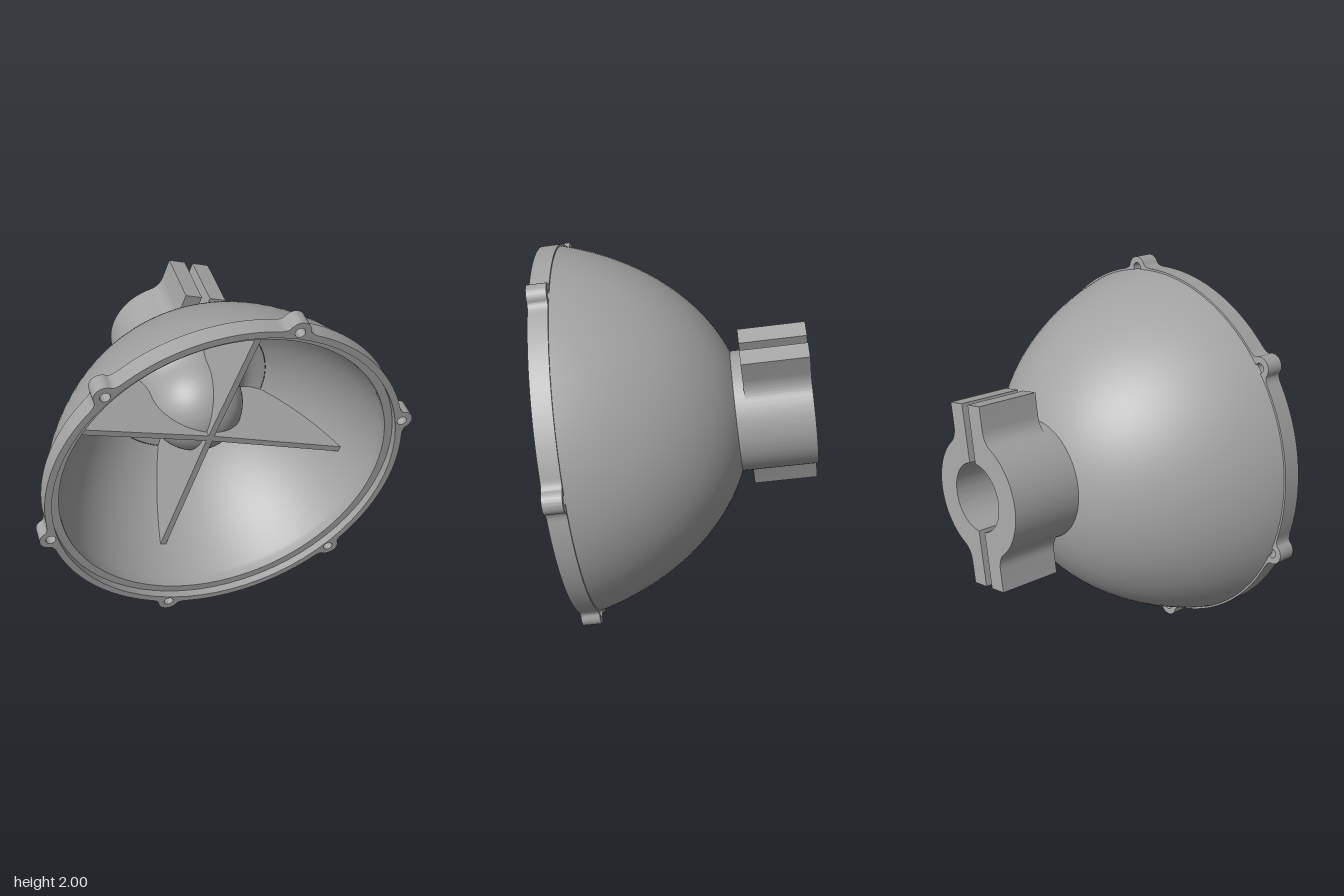
import * as THREE from 'three';
import { toCreasedNormals } from 'three/addons/utils/BufferGeometryUtils.js';

const V2 = (p) => new THREE.Vector2(p[0], p[1]);

// Bowl meridian as [radius, z]; b is the depth behind the rim, inset moves it inward
const meridian = (b, inset = 0) => [Math.sqrt(0.97 - 0.55 * b - 0.6 * b * b) - inset, -0.09 - b];
const sample = (from, to, count, fn) =>
  Array.from({ length: count + 1 }, (_, i) => fn(from + ((to - from) * i) / count));

export function createModel() {
  const grey = new THREE.MeshStandardMaterial({ color: 0xa3a3a3 });
  grey.name = 'plain grey';

  // The housing is built around local z (opening faces +z), then tilted.
  const housing = new THREE.Group();
  housing.name = 'housing';

  const add = (name, geometry) => {
    const mesh = new THREE.Mesh(geometry, grey);
    mesh.name = name;
    housing.add(mesh);
    return mesh;
  };
  // Revolve [radius, z] points about the z axis
  const lathe = (name, points) =>
    add(name, new THREE.LatheGeometry(points.map(V2), 96).rotateX(Math.PI / 2));
  // Extrude along z, from z upward, keeping hard edges
  const extrude = (shape, depth, z) => {
    const g = new THREE.ExtrudeGeometry(shape, { depth, bevelEnabled: false, curveSegments: 32 });
    return toCreasedNormals(g.translate(0, 0, z), 0.5);
  };

  // Bowl shell and stepped seat
  lathe('bowlOutside', sample(0.84, 0, 40, (b) => meridian(b)));
  lathe('bowlInside', [[0.91, -0.045], ...sample(0, 0.69, 32, (b) => meridian(b, 0.075))]);
  lathe('rimSeat', [[0.955, -0.045], [0.91, -0.045]]);

  // Floor that flares up into the central dome
  const flare = new THREE.SplineCurve([
    [0.475, -0.78], [0.38, -0.795], [0.31, -0.76], [0.28, -0.69], [0.275, -0.63],
  ].map(V2)).getPoints(20).map((p) => [p.x, p.y]);
  const cap = sample(0.08, Math.PI / 2, 20, (t) =>
    [0.275 * Math.cos(t), -0.63 + 0.275 * Math.sin(t)]);
  lathe('centreDome', [...flare, ...cap]);

  // Rim with six flared lugs, each drilled through
  const rimR = 0.992, lugR = 0.06, spread = 0.115;
  const onRim = (a) => [rimR * Math.cos(a), rimR * Math.sin(a)];
  const rim = new THREE.Shape();
  for (let i = 0; i < 6; i++) {
    const a = Math.PI / 2 + (i * Math.PI) / 3;
    const next = a + Math.PI / 3;
    const [cx, cy] = onRim(a);
    const [nx, ny] = onRim(next);
    rim.absarc(cx, cy, lugR, a - 1.3, a + 1.3, false);
    rim.quadraticCurveTo(...onRim(a + 0.07), ...onRim(a + spread));
    rim.absarc(0, 0, rimR, a + spread, next - spread, false);
    rim.quadraticCurveTo(...onRim(next - 0.07),
      nx + lugR * Math.cos(next - 1.3), ny + lugR * Math.sin(next - 1.3));
    rim.holes.push(new THREE.Path().absarc(cx, cy, 0.027, 0, Math.PI * 2, true));
  }
  rim.holes.push(new THREE.Path().absarc(0, 0, 0.955, 0, Math.PI * 2, true));
  add('rimWithLugs', extrude(rim, 0.1, -0.1));

  // Crossed fins, flat along the front and following the bowl behind
  const side = sample(0.215, 0.72, 12, (b) => meridian(b, 0.05));
  const fin = new THREE.Shape([
    ...side.map(([x, y]) => [-x, y]),
    ...side.slice().reverse(),
    [0, -0.325],
  ].map(V2));
  for (let i = 0; i < 2; i++) {
    const plate = extrude(fin, 0.036, -0.018).rotateX(Math.PI / 2);
    add('crossFin', plate.rotateZ((i * Math.PI) / 2));
  }

  // Neck behind the bowl
  add('neck', new THREE.CylinderGeometry(0.322, 0.322, 0.13, 64)
    .rotateX(Math.PI / 2).translate(0, 0, -0.915));

  // Split clamp: two half rings with bolting wings
  const slit = 0.025, wing = 0.125, reach = 0.485, bore = 0.183, outer = 0.322;
  const join = 1.0, inner = Math.acos(slit / bore);
  const jx = outer * Math.cos(join), jy = outer * Math.sin(join);
  const clamp = new THREE.Shape();
  clamp.moveTo(slit, -reach);
  clamp.lineTo(wing, -reach);
  clamp.lineTo(wing, -0.36);
  clamp.quadraticCurveTo(wing + 0.003, -0.3, jx, -jy);
  clamp.absarc(0, 0, outer, -join, join, false);
  clamp.quadraticCurveTo(wing + 0.003, 0.3, wing, 0.36);
  clamp.lineTo(wing, reach);
  clamp.lineTo(slit, reach);
  clamp.absarc(0, 0, bore, inner, -inner, true);
  clamp.closePath();
  for (let i = 0; i < 2; i++) {
    add('clampHalf', extrude(clamp, 0.345, -1.315)).rotation.z = i * Math.PI;
  }

  // Aim the opening and roll the fins, lugs and clamp together
  const n = new THREE.Vector3(0.835, -0.15, 0.529).normalize();
  const right = new THREE.Vector3(0, 1, 0).cross(n).normalize();
  const up = n.clone().cross(right);
  housing.quaternion.setFromRotationMatrix(new THREE.Matrix4().makeBasis(right, up, n));
  housing.rotateZ(-THREE.MathUtils.degToRad(17.5));
  housing.position.set(0.355, 1.0, 0.07);

  const model = new THREE.Group();
  model.name = 'lampHousing';
  model.add(housing);
  return model;
}
